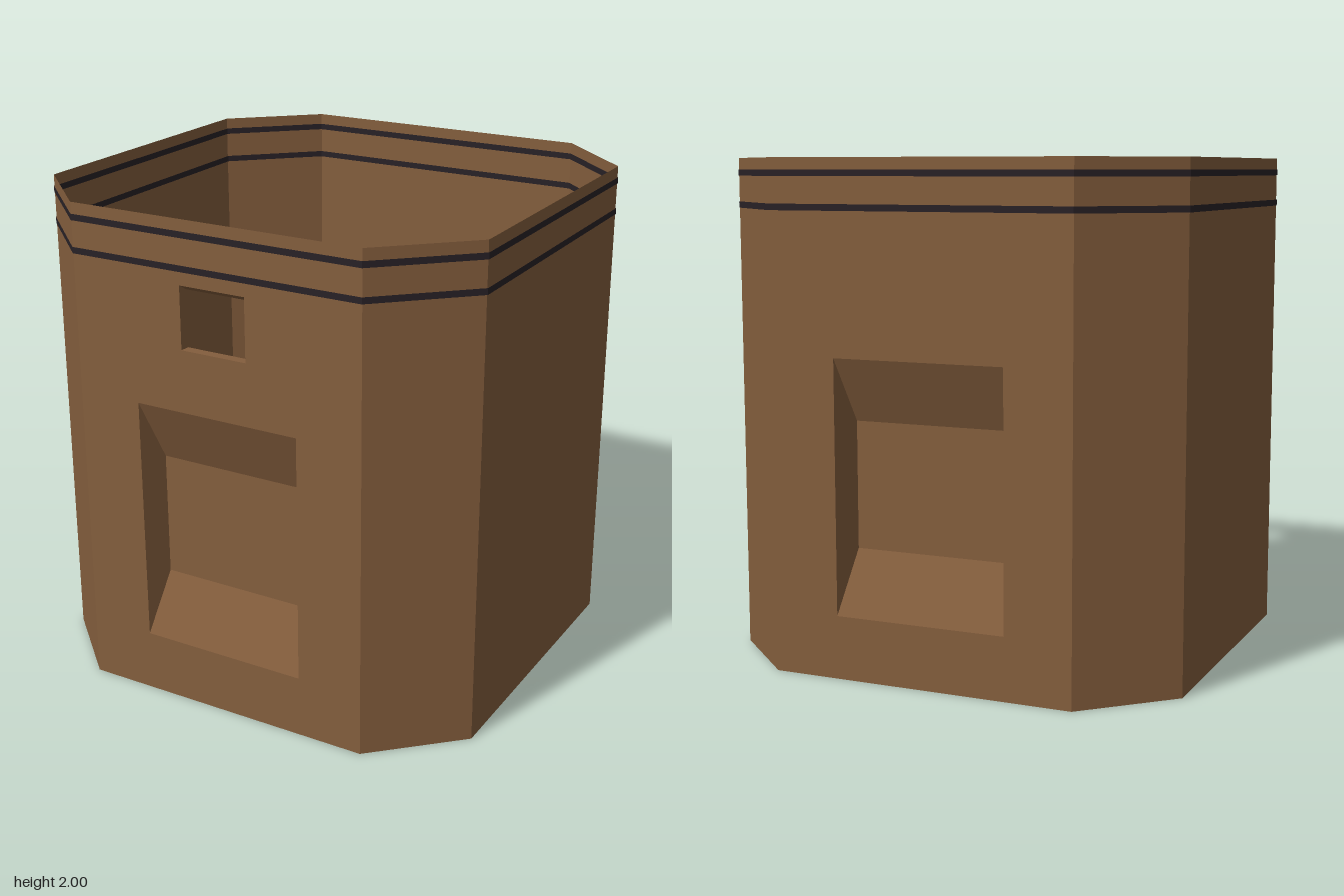
import * as THREE from 'three';

const W = 0.945, D = 0.925, C = 0.62; // half width, half depth, half length of the flat sides

const paint = (name, color) => {
  const m = new THREE.MeshStandardMaterial({ color, side: THREE.DoubleSide, flatShading: true });
  m.name = name;
  return m;
};

// Open skin of flat quads between matching points of two loops
function strip(a, b, closed = true) {
  const pos = [];
  const n = a.length;
  for (let i = 0; i < (closed ? n : n - 1); i++) {
    const j = (i + 1) % n;
    pos.push(...a[i], ...a[j], ...b[j], ...a[i], ...b[j], ...b[i]);
  }
  const g = new THREE.BufferGeometry();
  g.setAttribute('position', new THREE.Float32BufferAttribute(pos, 3));
  g.computeVertexNormals();
  return g;
}

// Rectangle loop facing +z, counter-clockwise
const rect = (x, y0, y1, z) => [[-x, y0, z], [x, y0, z], [x, y1, z], [-x, y1, z]];

// Octagon outline, starting at the front right corner, counter-clockwise from above
const octagon = (y, s = 0) => [
  [C, D + s], [W + s, C], [W + s, -C], [C, -D - s],
  [-C, -D - s], [-W - s, -C], [-W - s, C], [-C, D + s],
].map(([x, z]) => [x, y, z]);

export function createModel() {
  const model = new THREE.Group();
  model.name = 'octagonalShell';
  const brown = paint('brown', 0x845e3d);
  const dark = paint('darkBand', 0x282126);
  const add = (parent, name, geometry, material) => {
    const mesh = new THREE.Mesh(geometry, material);
    mesh.name = name;
    parent.add(mesh);
  };

  // Side and corner walls
  const lo = octagon(0), hi = octagon(2);
  add(model, 'rightWalls', strip(lo.slice(0, 4), hi.slice(0, 4), false), brown);
  add(model, 'leftWalls', strip(lo.slice(4), hi.slice(4), false), brown);

  // Front and back walls, each with a tapered niche; the front also has a slot
  for (const side of ['front', 'back']) {
    const wall = new THREE.Group();
    wall.name = side + 'Wall';
    if (side === 'back') wall.rotation.y = Math.PI;
    const outline = (x, y0, y1) => rect(x, y0, y1, 0).map(([px, py]) => new THREE.Vector2(px, py));
    const shape = new THREE.Shape(outline(C, 0, 2));
    shape.holes.push(new THREE.Path(outline(0.35, 0.25, 1.25)));
    if (side === 'front') {
      shape.holes.push(new THREE.Path(outline(0.14, 1.5, 1.75)));
      add(wall, 'slotFrame', strip(rect(0.14, 1.5, 1.75, D), rect(0.138, 1.5, 1.725, 0.885)), brown);
    }
    add(wall, side + 'Panel', new THREE.ShapeGeometry(shape).translate(0, 0, D), brown);
    add(wall, side + 'NicheSides', strip(rect(0.35, 0.25, 1.25, D), rect(0.31, 0.5, 1, 0.82)), brown);
    add(wall, side + 'NicheBack', new THREE.PlaneGeometry(0.62, 0.5).translate(0, 0.75, 0.82), brown);
    model.add(wall);
  }

  // Two dark bands around the rim, outside and inside
  for (const [name, y0, y1] of [['upperBand', 1.93, 1.955], ['lowerBand', 1.802, 1.827]]) {
    for (const s of [0.003, -0.003]) {
      add(model, name + (s > 0 ? 'Outer' : 'Inner'), strip(octagon(y0, s), octagon(y1, s)), dark);
    }
  }
  return model;
}
